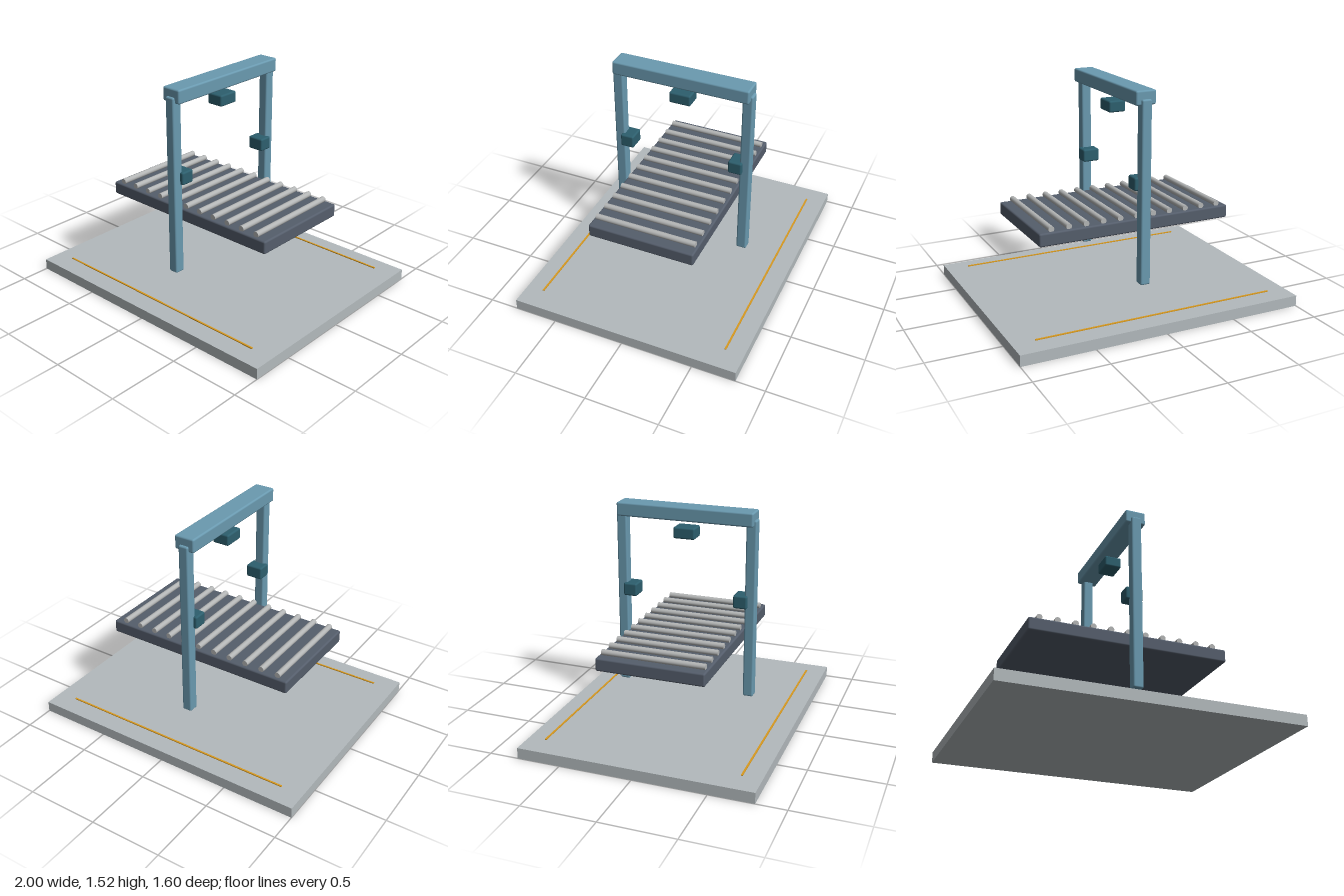
import * as THREE from 'three';
import { RoundedBoxGeometry } from 'three/addons/geometries/RoundedBoxGeometry.js';

const paint = (color) => new THREE.MeshStandardMaterial({ color });

export function createModel() {
  const model = new THREE.Group();
  const floorGrey = paint(0xb3babd);
  const stripeYellow = paint(0xd99a20);
  const bedSlate = paint(0x555e6c);
  const rollerGrey = paint(0xb4b6b6);
  const frameBlue = paint(0x6a9ab0);
  const sensorTeal = paint(0x2d5f6e);

  const add = (name, geometry, material, x, y, z) => {
    const mesh = new THREE.Mesh(geometry, material);
    mesh.name = name;
    mesh.position.set(x, y, z);
    model.add(mesh);
    return mesh;
  };
  const rounded = (w, h, d, r = 0.012) => new RoundedBoxGeometry(w, h, d, 3, r);

  // Floor slab
  add('floorSlab', new THREE.BoxGeometry(2, 0.075, 1.6), floorGrey, 0, 0.0375, 0);

  // Conveyor bed
  add('conveyorBed', rounded(1.385, 0.09, 0.745), bedSlate, 0, 0.6, 0);

  // Row of rollers half sunk into the bed
  const rollerGeometry = new THREE.CylinderGeometry(0.02, 0.02, 0.71, 20).rotateX(Math.PI / 2);
  for (let i = 0; i < 11; i++) {
    add('roller', rollerGeometry, rollerGrey, -0.616 + i * 0.122, 0.661, 0);
  }

  // Parts mirrored front and back: safety stripes, gantry posts, side sensors
  for (const side of [1, -1]) {
    const end = side > 0 ? 'front' : 'back';
    add(end + 'SafetyStripe', new THREE.BoxGeometry(1.705, 0.006, 0.012), stripeYellow, 0, 0.088, side * 0.671);
    add(end + 'Post', rounded(0.07, 1.242, 0.072), frameBlue, 0, 0.843, side * 0.458);
    add(end + 'Sensor', rounded(0.12, 0.09, 0.096), sensorTeal, 0, 0.905, side * 0.396);
  }

  // Gantry crossbeam and the overhead sensor hanging below it
  add('crossbeam', rounded(0.142, 0.095, 0.956), frameBlue, 0, 1.472, 0);
  add('overheadSensor', rounded(0.12, 0.078, 0.15), sensorTeal, 0, 1.341, 0);

  return model;
}
